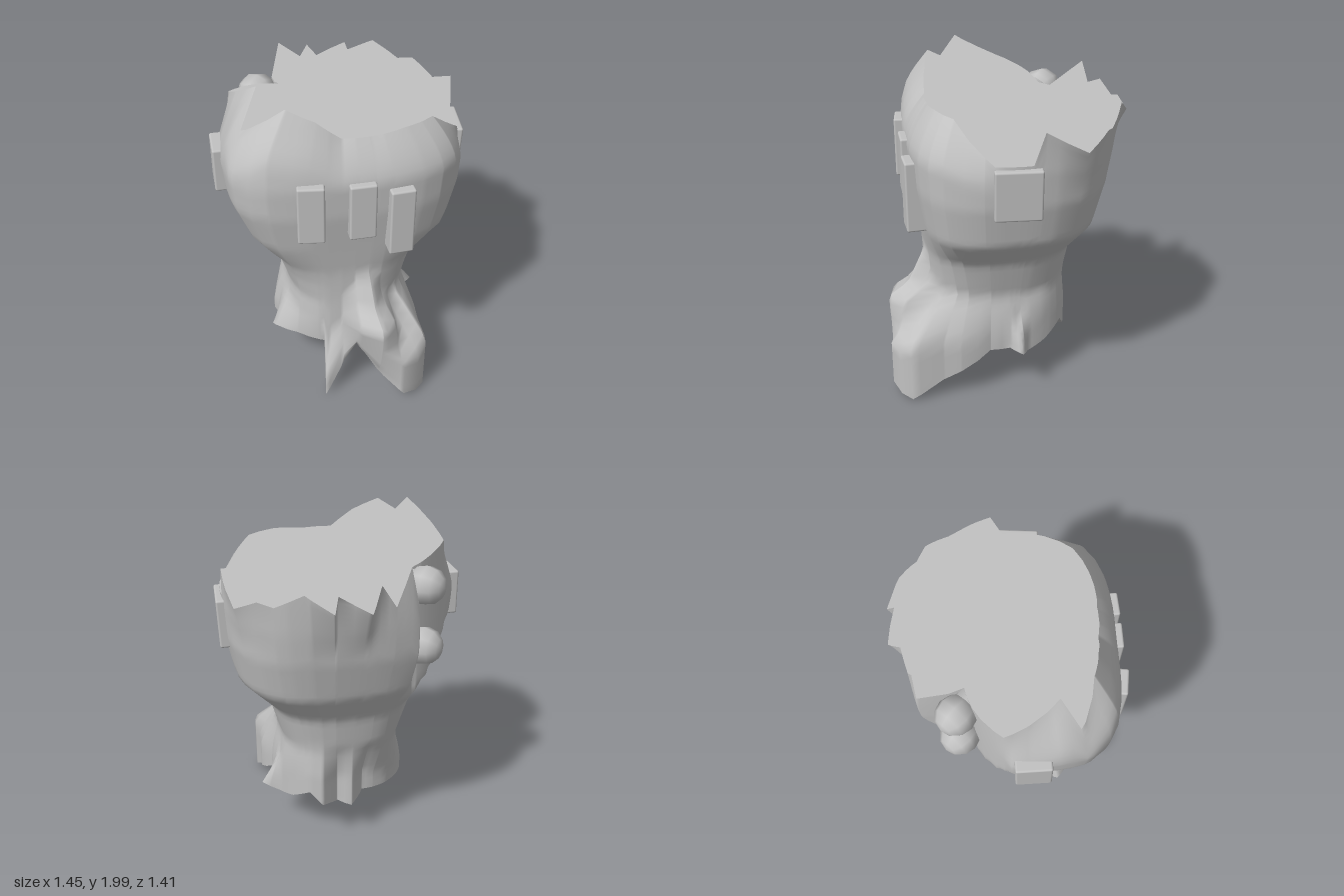
import * as THREE from 'three';
import { RoundedBoxGeometry } from 'three/addons/geometries/RoundedBoxGeometry.js';

// Jagged rims as [x, y, z, height where the wall starts to bend towards the point]
const TOP = [
  [-0.07, 1.78, 0.41, 1.55], [0.1, 1.78, 0.42, 1.55], [0.28, 1.8, 0.4, 1.55], [0.45, 1.8, 0.32, 1.55],
  [0.66, 1.6, 0.14, 1.4], [0.68, 1.6, -0.06, 1.4], [0.685, 1.78, -0.12, 1.5], [0.66, 1.64, -0.36, 1.4],
  [0.56, 1.72, -0.49, 1.4], [0.48, 1.7, -0.54, 1.3], [0.34, 1.79, -0.63, 1.3], [0.2, 1.7, -0.71, 1.4],
  [0.17, 1.78, -0.66, 1.3], [0, 1.68, -0.71, 1.4], [-0.07, 1.8, -0.63, 1.3], [-0.16, 1.66, -0.61, 1.2],
  [-0.25, 1.86, -0.57, 1.1], [-0.3, 1.64, -0.57, 1.1], [-0.29, 1.73, -0.31, 0.9], [-0.6, 1.82, -0.12, 1.4],
  [-0.47, 2, 0.17, 1.65], [-0.58, 1.8, 0.28, 1.55], [-0.35, 1.95, 0.35, 1.68], [-0.2, 1.88, 0.39, 1.62],
];
const BOTTOM = [
  [0, 0.38, 0.47, 0.55], [0.12, 0.22, 0.62, 0.6], [0.27, 0.06, 0.7, 0.6], [0.36, 0.03, 0.66, 0.6],
  [0.42, 0.02, 0.6, 0.65], [0.42, 0.14, 0.41, 0.65],
  [0.4, 0.3, 0.12, 0.6], [0.4, 0.3, 0, 0.6], [0.5, 0.31, -0.06, 0.47], [0.39, 0.26, -0.11, 0.6],
  [0.34, 0.3, -0.23, 0.7], [0.26, 0.38, -0.34, 0.75], [0.19, 0.3, -0.38, 0.75], [0.08, 0.27, -0.31, 0.7],
  [0.01, 0.26, -0.37, 0.7], [-0.08, 0.31, -0.29, 0.7], [-0.31, 0.3, -0.2, 0.6], [-0.42, 0.27, 0, 0.6],
  [-0.4, 0.31, 0.1, 0.6], [-0.46, 0.34, 0.22, 0.55], [-0.32, 0.34, 0.33, 0.5], [-0.17, 0.33, 0.42, 0.5],
  [-0.19, 0.01, 0.57, 0.4],
];
// Wall sections: y, reach to -x, +x, +z, -z
const WALL = [
  [0, 0.38, 0.4, 0.45, 0.37], [0.35, 0.38, 0.4, 0.45, 0.37], [0.65, 0.34, 0.36, 0.45, 0.38],
  [0.9, 0.42, 0.43, 0.46, 0.42], [1.1, 0.57, 0.62, 0.49, 0.54], [1.35, 0.67, 0.67, 0.53, 0.6],
  [1.55, 0.69, 0.68, 0.54, 0.62], [1.75, 0.66, 0.67, 0.52, 0.63], [2.1, 0.62, 0.67, 0.45, 0.63],
];
const ROWS = 40;
const { lerp, clamp } = THREE.MathUtils;

// Rim sorted by angle, as { a, r, y, h }
const polar = (rim) => rim
  .map(([x, y, z, h]) => ({ a: Math.atan2(x, z), r: Math.hypot(x, z), y, h }))
  .sort((p, q) => p.a - q.a);

function rimAt(rim, a) {
  const k = Math.max(0, rim.findIndex((p) => p.a > a + 1e-9));
  const p = rim[(k + rim.length - 1) % rim.length], q = rim[k];
  const turn = Math.PI * 2;
  const span = (q.a - p.a + turn) % turn, t = ((a - p.a + turn + 1e-12) % turn) / span;
  const mix = (key) => lerp(p[key], q[key], t);
  return { r: mix('r'), y: mix('y'), h: mix('h') };
}

// Rounded-square wall radius at an angle and height
function wallRadius(a, y) {
  let k = 1;
  while (k < WALL.length - 1 && WALL[k][0] < y) k++;
  const p = WALL[k - 1], q = WALL[k];
  const t = clamp((y - p[0]) / (q[0] - p[0]), 0, 1);
  const s = Math.sin(a), c = Math.cos(a);
  const reach = (i) => lerp(p[i], q[i], t);
  const n = c > 0 ? lerp(2.7, s < 0 ? 3.8 : 3.1, clamp((y - 0.8) / 0.3, 0, 1)) : 2.7;
  const sum = Math.abs(s / reach(s < 0 ? 1 : 2)) ** n + Math.abs(c / reach(c < 0 ? 4 : 3)) ** n;
  // Hollow behind the knobs
  const hollow = a > -2.33 ? (a + 2.33) / 0.6 : (-2.33 - a) / 0.31;
  return hollow < 1 ? Math.min(sum ** (-1 / n), 0.43 + 0.22 * hollow) : sum ** (-1 / n);
}

// Large front root with a ledge on top, leaning towards +x as it goes down
function rootRadius(a, y) {
  const lean = lerp(0.43, 0.17, clamp((y - 0.1) / 0.5, 0, 1));
  const ridge = lerp(0.72, 0.7, clamp(y / 0.6, 0, 1)) - 0.14 * ((a - lean) / 0.26) ** 2;
  return ridge - 0.12 * clamp((y - 0.59) / 0.07, 0, 1) - 0.11 * clamp((y - 0.66) / 0.22, 0, 1);
}

function fan(center, ring, up) {
  const pos = [], nor = [];
  ring.forEach((p, i) => {
    const q = ring[(i + 1) % ring.length];
    pos.push(...center, ...(up ? p : q), ...(up ? q : p));
    for (let k = 0; k < 3; k++) nor.push(0, up ? 1 : -1, 0);
  });
  const g = new THREE.BufferGeometry();
  g.setAttribute('position', new THREE.Float32BufferAttribute(pos, 3));
  g.setAttribute('normal', new THREE.Float32BufferAttribute(nor, 3));
  return g;
}

export function createModel() {
  const group = new THREE.Group();
  const grey = new THREE.MeshStandardMaterial({ color: 0xc2c2c2, side: THREE.DoubleSide });
  grey.name = 'plain grey';
  const add = (name, geometry, x = 0, y = 0, z = 0) => {
    const m = new THREE.Mesh(geometry, grey);
    m.name = name;
    m.position.set(x, y, z);
    group.add(m);
    return m;
  };

  // Columns pass through every rim point, with even ones between
  const top = polar(TOP), bottom = polar(BOTTOM);
  const even = Array.from({ length: 40 }, (_, i) => -Math.PI + 0.03 + (i * Math.PI) / 20);
  const angles = [...top, ...bottom].map((p) => p.a).concat(even).sort((a, b) => a - b)
    .filter((a, i, all) => i === 0 || a - all[i - 1] > 0.004);

  // Body wall: level rows that bend to the jagged rims only near the ends
  const rings = [];
  for (let j = 0; j <= ROWS; j++) {
    const t = j / ROWS;
    rings.push(angles.map((a) => {
      const lo = rimAt(bottom, a), hi = rimAt(top, a);
      const y = lerp(0.3, 1.75, t) + (lo.y - 0.3) * (1 - t) ** 4 + (hi.y - 1.75) * t ** 4;
      const down = clamp((lo.h - y) / Math.min(0.25, lo.h - lo.y), 0, 1);
      const rise = clamp((y - hi.h) / (hi.y - hi.h), 0, 1);
      let r = lerp(wallRadius(a, y), lo.r, down);
      if (j > 0 && y < 0.9 && a > -0.02 && a < 0.8) r = Math.max(r, rootRadius(a, y));
      r = lerp(r, hi.r, rise ** 1.8);
      return [r * Math.sin(a), y, r * Math.cos(a)];
    }));
  }
  const n = angles.length, index = [];
  for (let j = 0; j < ROWS; j++) {
    for (let i = 0; i < n; i++) {
      const k = (i + 1) % n, a = j * n + i, b = j * n + k;
      index.push(a, b, b + n, a, b + n, a + n);
    }
  }
  const wall = new THREE.BufferGeometry();
  wall.setAttribute('position', new THREE.Float32BufferAttribute(rings.flat(2), 3));
  wall.setIndex(index);
  wall.computeVertexNormals();
  add('bodyWall', wall);

  // Jagged caps
  add('topCap', fan([0.06, 1.76, -0.2], rings[ROWS], true));
  add('bottomCap', fan([0, 0.3, 0.12], rings[0], false));

  // Three front bars: x, y, z, width, height, turn
  [[-0.25, 1.41, 0.5, 0.15, 0.36, -0.14], [0.025, 1.395, 0.5, 0.15, 0.35, 0],
    [0.24, 1.3, 0.505, 0.14, 0.42, 0.05]].forEach(([x, y, z, w, h, turn]) => {
    add('frontBar', new RoundedBoxGeometry(w, h, 0.15, 2, 0.012), x, y, z).rotation.y = turn;
  });

  // Side plates
  const leftPlate = add('leftPlate', new RoundedBoxGeometry(0.12, 0.29, 0.26, 2, 0.012), 0.645, 1.44, 0.015);
  leftPlate.rotation.set(0, -0.1, -0.04);
  add('rightPlate', new RoundedBoxGeometry(0.12, 0.27, 0.2, 2, 0.012), -0.67, 1.465, 0.03);

  // Two knobs on the hollow back corner
  for (const y of [1.66, 1.29]) {
    const knob = new THREE.Group();
    knob.name = 'backKnob';
    knob.position.set(-0.36, y, -0.31);
    knob.rotation.y = Math.PI / 4;
    const head = new THREE.Mesh(new THREE.SphereGeometry(0.115, 8, 6), grey);
    head.name = 'knobHead';
    head.rotation.x = Math.PI / 2;
    head.position.z = -0.075;
    const stem = new THREE.Mesh(new THREE.CylinderGeometry(0.08, 0.08, 0.16, 8), grey);
    stem.name = 'knobStem';
    stem.rotation.x = Math.PI / 2;
    knob.add(head, stem);
    group.add(knob);
  }
  return group;
}
